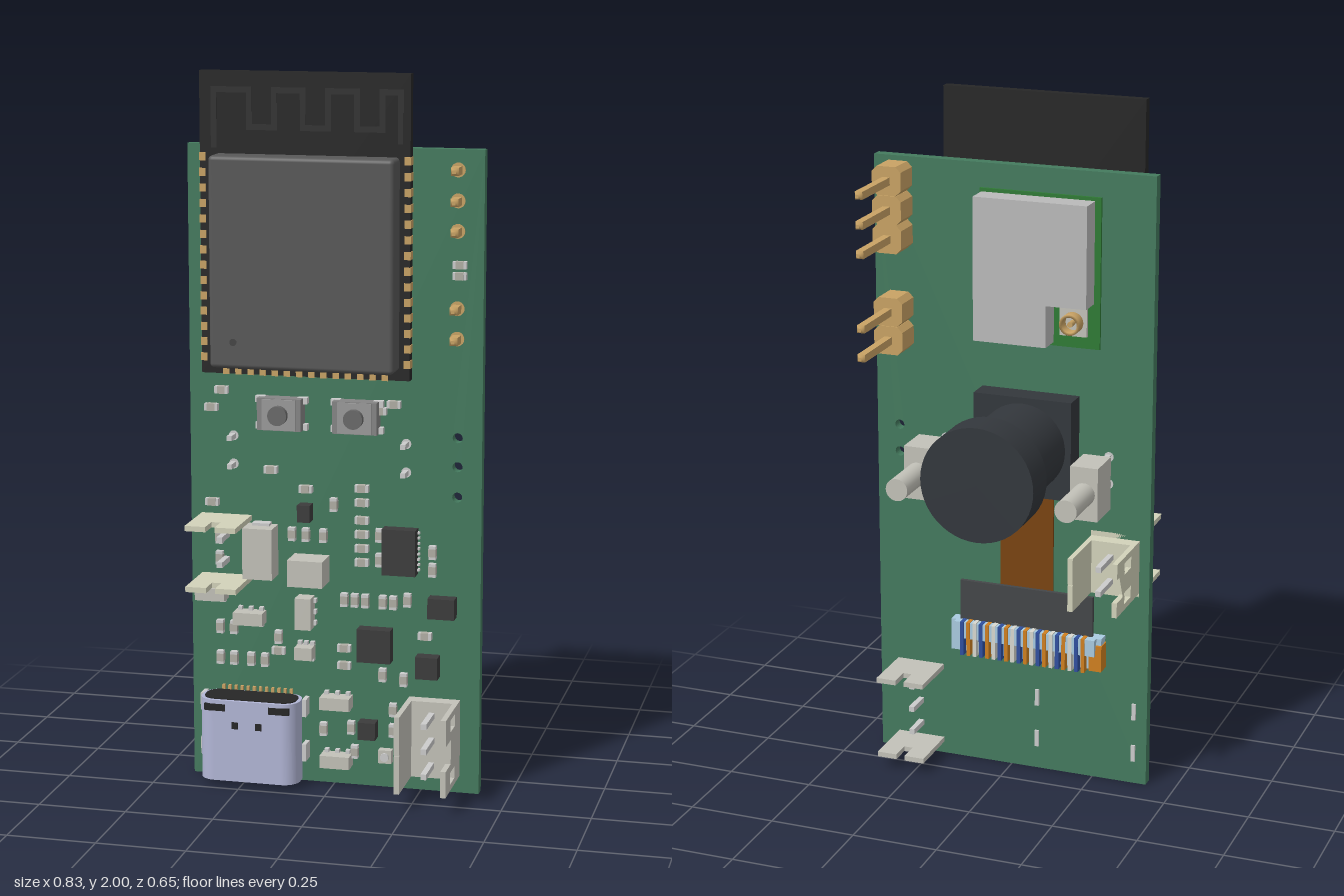
import * as THREE from 'three';
import { RoundedBoxGeometry } from 'three/addons/geometries/RoundedBoxGeometry.js';

const FRONT = 0.128, BACK = 0.096; // board faces
const mats = {};
const mat = (c) => (mats[c] ??= new THREE.MeshStandardMaterial({ color: c }));
const GREEN = 0x447a5e, BLACK = 0x262626, CHIP = 0x3c3c3c, GOLD = 0xc8a264, METAL = 0xcccccc,
  PLASTIC = 0xc2c1b8, CREAM = 0xd2d2ba, LENS = 0x33373c;

function add(parent, name, geo, color, x = 0, y = 0, z = 0) {
  const m = new THREE.Mesh(geo, mat(color));
  m.name = name;
  m.position.set(x, y, z);
  parent.add(m);
  return m;
}
// box from its extents along each axis
const span = (p, name, color, x0, x1, y0, y1, z0, z1) =>
  add(p, name, new THREE.BoxGeometry(x1 - x0, y1 - y0, z1 - z0), color, (x0 + x1) / 2, (y0 + y1) / 2, (z0 + z1) / 2);
// part sitting on the front face
const chip = (p, name, color, x, y, w, h, d) =>
  span(p, name, color, x - w / 2, x + w / 2, y - h / 2, y + h / 2, FRONT, FRONT + d);
// cylinder along z
function rod(p, name, color, x, y, z0, z1, r, seg = 32) {
  const g = new THREE.CylinderGeometry(r, r, z1 - z0, seg).rotateX(Math.PI / 2);
  return add(p, name, g, color, x, y, (z0 + z1) / 2);
}
const poly = (pts) => new THREE.Shape(pts.map(([x, y]) => new THREE.Vector2(x, y)));
const extrude = (shape, depth) => new THREE.ExtrudeGeometry(shape, { depth, bevelEnabled: false, curveSegments: 12 });
const rect = (x0, x1, y0, y1) => poly([[x0, y0], [x1, y0], [x1, y1], [x0, y1]]);
function roundRect(w, h, r) {
  const s = new THREE.Shape(), a = w / 2 - r, b = h / 2 - r;
  s.absarc(a, b, r, 0, Math.PI / 2);
  s.absarc(-a, b, r, Math.PI / 2, Math.PI);
  s.absarc(-a, -b, r, Math.PI, Math.PI * 1.5);
  s.absarc(a, -b, r, Math.PI * 1.5, Math.PI * 2);
  return s;
}

// open socket rising along local +z, pins spread along y
function socket(name, color, w, h, d, pins) {
  const g = new THREE.Group(), t = 0.015;
  g.name = name;
  const wall = (len, notch, depth, windows) => {
    const s = poly([[-len / 2, 0], [len / 2, 0], [len / 2, d], [notch, d], [notch, d - depth],
      [-notch, d - depth], [-notch, d], [-len / 2, d]]);
    if (windows) for (const u of [-1, 1]) {
      const c = u * (len / 2 - 0.035);
      s.holes.push(rect(c - 0.017, c + 0.017, d * 0.38, d * 0.68));
    }
    return extrude(s, t);
  };
  span(g, 'socketFloor', color, -w / 2 + t, w / 2 - t, -h / 2 + t, h / 2 - t, 0, 0.04);
  for (const s of [-1, 1])
    add(g, 'socketEndWall', wall(w, 0.013, 0.06).rotateX(Math.PI / 2).scale(1, 1, -1).rotateZ(Math.PI), color, 0, s * (h - t) / 2 - t / 2, 0)
      .material = doubleSided(color);
  for (const s of [-1, 1]) {
    const geo = wall(h - 2 * t, s > 0 ? 0.035 : 0.002, s > 0 ? 0.07 : 0.004, s > 0);
    // (u, v, depth) becomes (y, z, x)
    geo.applyMatrix4(new THREE.Matrix4().makeBasis(new THREE.Vector3(0, 1, 0), new THREE.Vector3(0, 0, 1), new THREE.Vector3(1, 0, 0)));
    add(g, 'socketSideWall', geo, color, s * (w - t) / 2 - t / 2, 0, 0);
  }
  for (let i = 0; i < pins; i++) {
    const y = (i - (pins - 1) / 2) * 0.072;
    span(g, 'socketPin', METAL, -0.008, 0.008, y - 0.008, y + 0.008, -0.11, d * 0.75);
  }
  return g;
}
const doubleSided = (c) => (mats['d' + c] ??= new THREE.MeshStandardMaterial({ color: c, side: THREE.DoubleSide }));

export function createModel() {
  const root = new THREE.Group();
  root.name = 'cameraBoard';

  // circuit board with drilled holes
  const outline = rect(-0.414, 0.414, 0, 1.8);
  for (const y of [1.013, 0.932, 0.847]) {
    const hole = new THREE.Path();
    hole.absarc(0.346, y, 0.014, 0, Math.PI * 2, true);
    outline.holes.push(hole);
  }
  add(root, 'board', extrude(outline, FRONT - BACK), GREEN, 0, 0, BACK);

  // wireless module
  const radio = new THREE.Group();
  radio.name = 'wirelessModule';
  root.add(radio);
  span(radio, 'moduleBoard', BLACK, -0.37, 0.217, 1.17, 2, FRONT, 0.156);
  add(radio, 'moduleShield', new RoundedBoxGeometry(0.515, 0.58, 0.085, 3, 0.012), 0x585858, -0.07, 1.487, 0.186);
  rod(radio, 'shieldDot', 0x444444, -0.26, 1.27, 0.226, 0.2295, 0.01, 20);
  for (let i = 0; i < 14; i++) {
    const y = 1.215 + i * 0.0425;
    for (const x of [-0.363, 0.21]) span(radio, 'modulePad', GOLD, x - 0.009, x + 0.009, y - 0.011, y + 0.011, FRONT, 0.158);
    const x = -0.3 + i * 0.0345;
    span(radio, 'modulePad', GOLD, x - 0.009, x + 0.009, 1.168, 1.184, FRONT, 0.158);
  }
  // antenna meander
  const path = [[-0.33, 1.8], [-0.33, 1.95], [-0.23, 1.95], [-0.23, 1.85], [-0.16, 1.85], [-0.16, 1.95], [-0.08, 1.95],
    [-0.08, 1.85], [-0.01, 1.85], [-0.01, 1.95], [0.07, 1.95], [0.07, 1.85], [0.14, 1.85], [0.14, 1.95], [0.19, 1.95], [0.19, 1.82]];
  for (let i = 1; i < path.length; i++) {
    const [a, b] = path[i - 1], [c, d] = path[i], t = 0.008;
    span(radio, 'antennaTrace', 0x303030, Math.min(a, c) - t, Math.max(a, c) + t, Math.min(b, d) - t, Math.max(b, d) + t, 0.155, 0.158);
  }

  // push buttons
  for (const x of [-0.147, 0.067]) {
    chip(root, 'buttonBody', 0x858585, x, 1.063, 0.125, 0.09, 0.045);
    chip(root, 'buttonCover', 0x9a9a9a, x, 1.063, 0.095, 0.086, 0.05);
    rod(root, 'buttonPlunger', 0x6a6a6a, x, 1.063, 0.17, 0.195, 0.027);
    for (const sx of [-1, 1]) for (const sy of [-1, 1])
      chip(root, 'buttonLeg', METAL, x + sx * 0.06, 1.063 + sy * 0.037, 0.028, 0.018, 0.02);
  }

  // integrated circuits
  for (const [x, y, w, h] of [[0.19, 0.69, 0.095, 0.13], [0.31, 0.537, 0.075, 0.058], [0.12, 0.418, 0.095, 0.095],
    [0.27, 0.365, 0.063, 0.063], [0.1, 0.17, 0.05, 0.05], [-0.08, 0.785, 0.036, 0.048]])
    chip(root, 'integratedCircuit', CHIP, x, y, w, h, 0.04);
  for (let i = 0; i < 8; i++) chip(root, 'circuitLead', METAL, 0.19, 0.638 + i * 0.015, 0.108, 0.006, 0.012);

  // larger passives and transistors
  chip(root, 'tantalumCapacitor', PLASTIC, -0.205, 0.67, 0.085, 0.145, 0.07);
  chip(root, 'capacitorTerminal', METAL, -0.205, 0.67, 0.05, 0.16, 0.03);
  chip(root, 'inductor', PLASTIC, -0.065, 0.625, 0.1, 0.075, 0.085);
  for (const [x, y, tall] of [[-0.35, 0.54], [-0.24, 0.475], [-0.08, 0.5, 1], [-0.08, 0.385], [0.01, 0.245], [0.01, 0.075]]) {
    const w = tall ? 0.045 : y === 0.385 ? 0.05 : 0.085, h = tall ? 0.09 : 0.036;
    chip(root, 'transistor', PLASTIC, x, y, w, h, 0.05);
    for (const k of [-1, 0, 1]) chip(root, 'transistorLead', METAL, x + (tall ? 0 : k * w * 0.36), y + (tall ? k * 0.032 : 0),
      tall ? 0.06 : 0.012, tall ? 0.012 : 0.056, 0.016);
  }
  chip(root, 'statusLight', PLASTIC, 0.15, 0.095, 0.038, 0.038, 0.025);
  rod(root, 'statusLens', METAL, 0.15, 0.095, FRONT, 0.16, 0.012, 16);

  // small passives, in hundredths: lying, then upright
  const lying = [-32, 112, -35, 107, 13, 108, 17, 110, -35, 80, -18, 90, -8, 85, 8, 86, 8, 82, 8, 77, 8, 73, 8, 69, 8, 65,
    26, 45, -16, 38, 3, 40, 3, 35, 35, 149, 35, 146];
  const upright = [-12, 72, -8, 72, -3, 72, 0, 81, -33, 70, -33, 64, 13, 73, 13, 66, 28, 69, 28, 64, 3, 54, 6, 54, 9, 54, 14, 54,
    17, 54, 21, 55, -33, 44, -29, 44, -33, 35, -29, 35, -24, 35, -20, 35, -16, 42, 14, 33, 20, 32, 5, 17, 6, 10, 17, 23, 17, 17, -3, 16];
  [lying, upright].forEach((list, up) => {
    for (let i = 0; i < list.length; i += 2) {
      const x = list[i] / 100, y = list[i + 1] / 100, at = (l, s, d, c, n) => chip(root, n, c, x, y, up ? s : l, up ? l : s, d);
      at(0.038, 0.02, 0.018, METAL, 'passiveTerminals');
      at(0.022, 0.021, 0.019, 0xb0aea4, 'passiveBody');
    }
  });

  // charging port, open at the bottom edge
  const usb = new THREE.Group();
  usb.name = 'chargingPort';
  root.add(usb);
  const shell = roundRect(0.285, 0.108, 0.045);
  shell.holes.push(roundRect(0.265, 0.088, 0.036));
  add(usb, 'portShell', extrude(shell, 0.235).rotateX(-Math.PI / 2), 0xb2b6d6, -0.227, 0.018, 0.183);
  add(usb, 'portBack', extrude(roundRect(0.265, 0.088, 0.036), 0.06).rotateX(-Math.PI / 2), BLACK, -0.227, 0.196, 0.183);
  span(usb, 'portTongue', BLACK, -0.32, -0.134, 0.04, 0.2, 0.176, 0.19);
  for (const x of [-0.32, -0.135]) span(usb, 'shellSlot', BLACK, x - 0.03, x + 0.03, 0.222, 0.242, 0.228, 0.2385);
  for (const x of [-0.262, -0.193]) span(usb, 'shellLatch', BLACK, x - 0.009, x + 0.009, 0.172, 0.192, 0.23, 0.2385);
  for (const x of [-0.375, -0.079]) for (const y of [0.095, 0.225])
    span(usb, 'shellTab', METAL, x - 0.006, x + 0.006, y - 0.025, y + 0.025, 0.09, 0.17);
  for (let i = 0; i < 12; i++) span(usb, 'portLead', GOLD, -0.327 + i * 0.018, -0.319 + i * 0.018, 0.24, 0.268, FRONT, 0.138);

  // wire sockets on the front and the back
  const frontSocket = socket('frontSocket', PLASTIC, 0.145, 0.25, 0.197, 3);
  frontSocket.position.set(0.287, 0.16, FRONT);
  const backSocket = socket('backSocket', CREAM, 0.145, 0.188, 0.2, 2);
  backSocket.position.set(-0.311, 0.671, BACK);
  backSocket.rotation.y = Math.PI;
  root.add(frontSocket, backSocket);

  // pin headers
  const block = poly([[-0.043, -0.026], [-0.028, -0.041], [0.028, -0.041], [0.043, -0.026], [0.043, 0.026],
    [0.028, 0.041], [-0.028, 0.041], [-0.043, 0.026]]);
  for (const y of [1.745, 1.662, 1.58, 1.37, 1.287]) {
    add(root, 'headerBlock', extrude(block, 0.084), GOLD, 0.342, y, 0.011);
    span(root, 'headerPin', GOLD, 0.331, 0.353, y - 0.011, y + 0.011, -0.178, 0.178);
    for (const s of [-1, 1]) {
      const tip = new THREE.CylinderGeometry(0.007, 0.0156, 0.012, 4, 1).rotateY(Math.PI / 4).rotateX(s * Math.PI / 2);
      add(root, 'pinTip', tip, GOLD, 0.342, y, s * 0.184);
    }
    rod(root, 'pinPad', GOLD, 0.342, y, FRONT - 0.002, FRONT + 0.002, 0.02, 20);
  }

  // shielded receiver with coaxial jack on the back
  span(root, 'receiverBoard', 0x2f7a35, -0.26, 0.095, 1.3, 1.73, 0.088, BACK);
  const can = poly([[-0.242, 1.43], [-0.125, 1.43], [-0.125, 1.31], [0.09, 1.31], [0.09, 1.72], [-0.242, 1.72]]);
  add(root, 'receiverShield', extrude(can, 0.068), 0xbababa, 0, 0, 0.021);
  span(root, 'jackBase', PLASTIC, -0.225, -0.145, 1.335, 1.415, 0.078, 0.088);
  const jack = [[0.022, 0], [0.03, 0], [0.03, 0.035], [0.022, 0.035], [0.022, 0]].map(([r, y]) => new THREE.Vector2(r, y));
  add(root, 'jackRing', new THREE.LatheGeometry(jack, 24).rotateX(-Math.PI / 2), GOLD, -0.185, 1.375, 0.08).material = doubleSided(GOLD);
  rod(root, 'jackCore', GOLD, -0.185, 1.375, 0.05, 0.08, 0.008, 12);

  // camera
  span(root, 'cameraBase', LENS, -0.2, 0.09, 0.868, 1.158, 0.025, BACK);
  rod(root, 'lensBarrel', LENS, -0.055, 1.013, -0.23, 0.03, 0.128, 48);
  rod(root, 'lensHead', LENS, -0.055, 1.013, -0.328, -0.222, 0.163, 48);

  // ribbon cable and its connector
  span(root, 'ribbonCable', 0x7a4410, -0.13, 0.03, 0.5, 0.9, 0.08, 0.086);
  span(root, 'ribbonStiffener', 0x444648, -0.255, 0.15, 0.44, 0.57, 0.068, 0.08);
  span(root, 'ribbonConnector', 0xa9cbe0, -0.285, 0.175, 0.355, 0.45, 0.06, BACK);
  span(root, 'connectorLatch', 0xa9cbe0, -0.27, 0.16, 0.4, 0.45, 0.042, 0.06);
  span(root, 'connectorEnd', 0xd08020, -0.288, -0.25, 0.352, 0.43, 0.052, BACK);
  const stripes = [0x3050a0, 0xd08020, 0xd8d8d0];
  for (let i = 0; i < 20; i++) {
    const x = 0.135 - i * 0.0195;
    span(root, 'connectorContact', stripes[i % 3], x - 0.0055, x + 0.0055, 0.348, 0.452, 0.039, 0.09);
  }

  // side lamps on leads
  for (const x of [-0.289, 0.203]) {
    span(root, 'lampBody', PLASTIC, x - 0.04, x + 0.04, 0.873, 1.027, -0.12, -0.008);
    rod(root, 'lampTube', PLASTIC, x, 0.95, -0.27, -0.118, 0.032);
    for (const y of [0.99, 0.91]) {
      span(root, 'lampLead', METAL, x - 0.007, x + 0.007, y - 0.007, y + 0.007, -0.01, 0.175);
      rod(root, 'lampPad', METAL, x, y, BACK - 0.002, FRONT + 0.002, 0.014, 16);
    }
  }
  return root;
}
